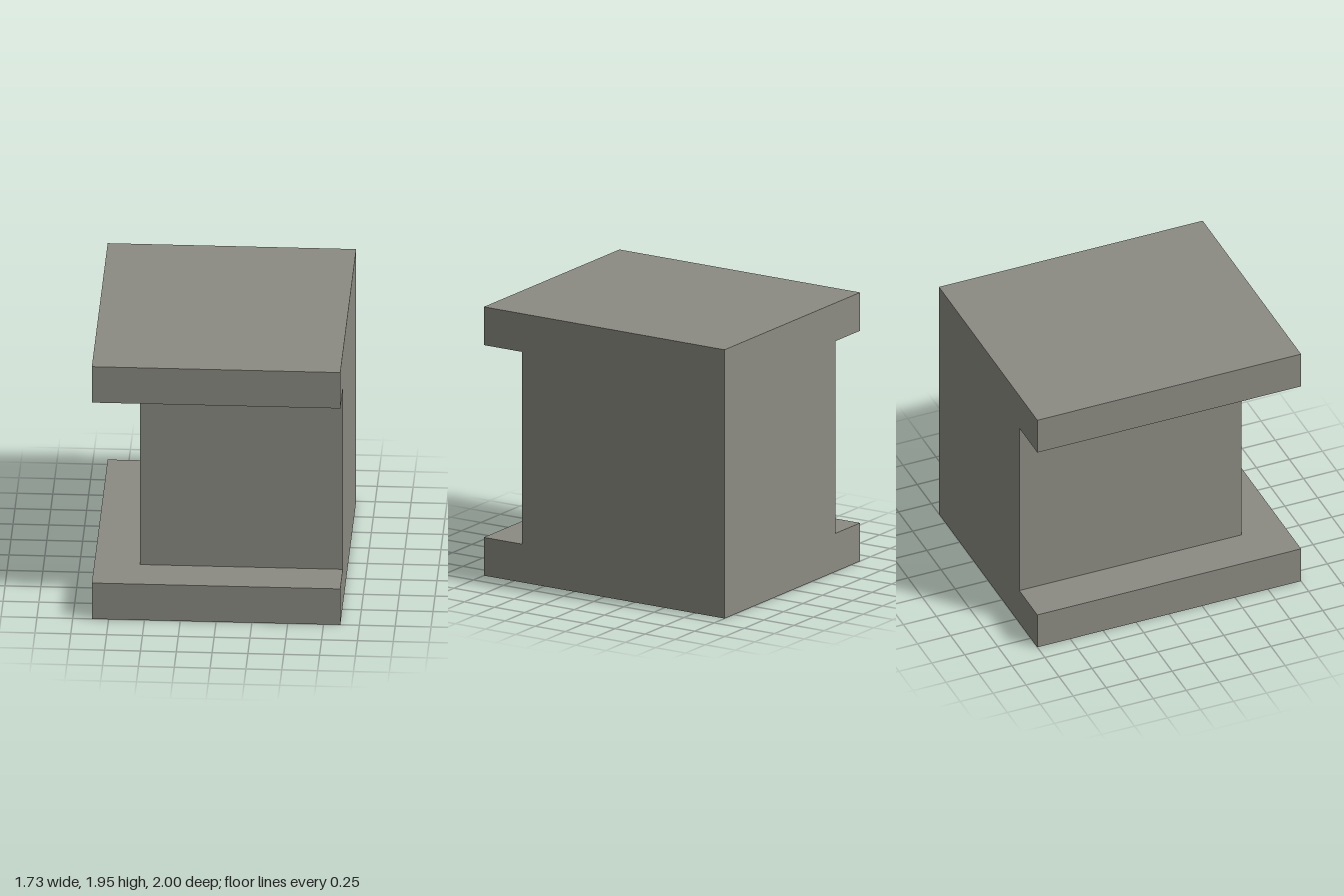
import * as THREE from 'three';

// Box given by its min and max corners
function block(name, [x0, y0, z0], [x1, y1, z1], material) {
  const geometry = new THREE.BoxGeometry(x1 - x0, y1 - y0, z1 - z0);
  geometry.translate((x0 + x1) / 2, (y0 + y1) / 2, (z0 + z1) / 2);
  const mesh = new THREE.Mesh(geometry, material);
  mesh.name = name;
  return mesh;
}

export function createModel() {
  const stone = new THREE.MeshStandardMaterial({ color: 0x8c8b82 });
  stone.name = 'stone grey';

  const X = 0.867, Z = 1, TOP = 1.947, SLAB = 0.277;
  const group = new THREE.Group();
  group.name = 'pillarBlock';

  // Matching slabs at the bottom and top
  group.add(block('baseSlab', [-X, 0, -Z], [X, SLAB, Z], stone));
  group.add(block('topSlab', [-X, TOP - SLAB, -Z], [X, TOP, Z], stone));

  // Core, flush at the back and left, set back at the front and right
  group.add(block('core', [-0.55, SLAB, -Z], [X, TOP - SLAB, 0.683], stone));

  return group;
}
